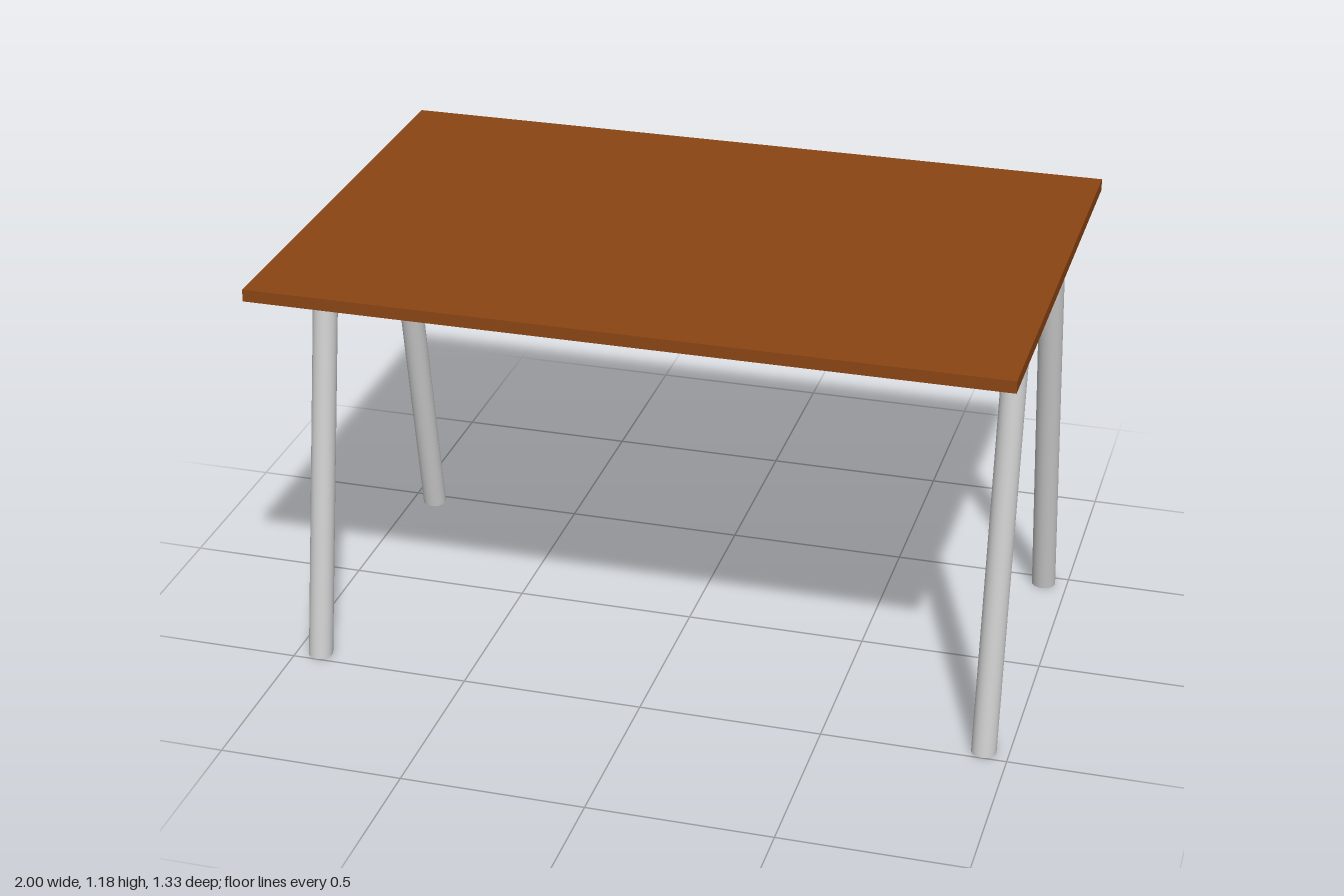
import * as THREE from 'three';

export function createModel() {
  const table = new THREE.Group();
  table.name = 'table';
  const wood = new THREE.MeshStandardMaterial({ color: 0x8b4513 });
  const metal = new THREE.MeshStandardMaterial({ color: 0xcccccc });

  const add = (name, geometry, material, x, y, z) => {
    const mesh = new THREE.Mesh(geometry, material);
    mesh.name = name;
    mesh.position.set(x, y, z);
    table.add(mesh);
  };

  const legHeight = 1.117, bar = 0.067, barHeight = 0.033;
  const railX = 0.933, railZ = 0.267, footZ = 0.465;

  // Flat wooden slab
  add('tabletop', new THREE.BoxGeometry(2, 0.033, 1.333), wood, 0, 1.1665, 0);

  // Rectangular frame under the slab: long rails, with end rails between them
  const railY = legHeight + barHeight / 2;
  for (const s of [-1, 1]) {
    add(s > 0 ? 'frontRail' : 'backRail',
      new THREE.BoxGeometry(2 * railX + bar, barHeight, bar), metal, 0, railY, s * railZ);
    add(s > 0 ? 'leftRail' : 'rightRail',
      new THREE.BoxGeometry(bar, barHeight, 2 * railZ - bar), metal, s * railX, railY, 0);
  }

  // Round legs, sheared outward so their ends stay level
  for (const sx of [-1, 1]) {
    for (const sz of [-1, 1]) {
      const leg = new THREE.CylinderGeometry(bar / 2, bar / 2, legHeight, 32);
      const slope = -sz * (footZ - railZ) / legHeight;
      leg.applyMatrix4(new THREE.Matrix4().set(
        1, 0, 0, 0,
        0, 1, 0, 0,
        0, slope, 1, 0,
        0, 0, 0, 1));
      const name = (sz > 0 ? 'front' : 'back') + (sx > 0 ? 'Left' : 'Right') + 'Leg';
      add(name, leg, metal, sx * railX, legHeight / 2, sz * (footZ + railZ) / 2);
    }
  }
  return table;
}
